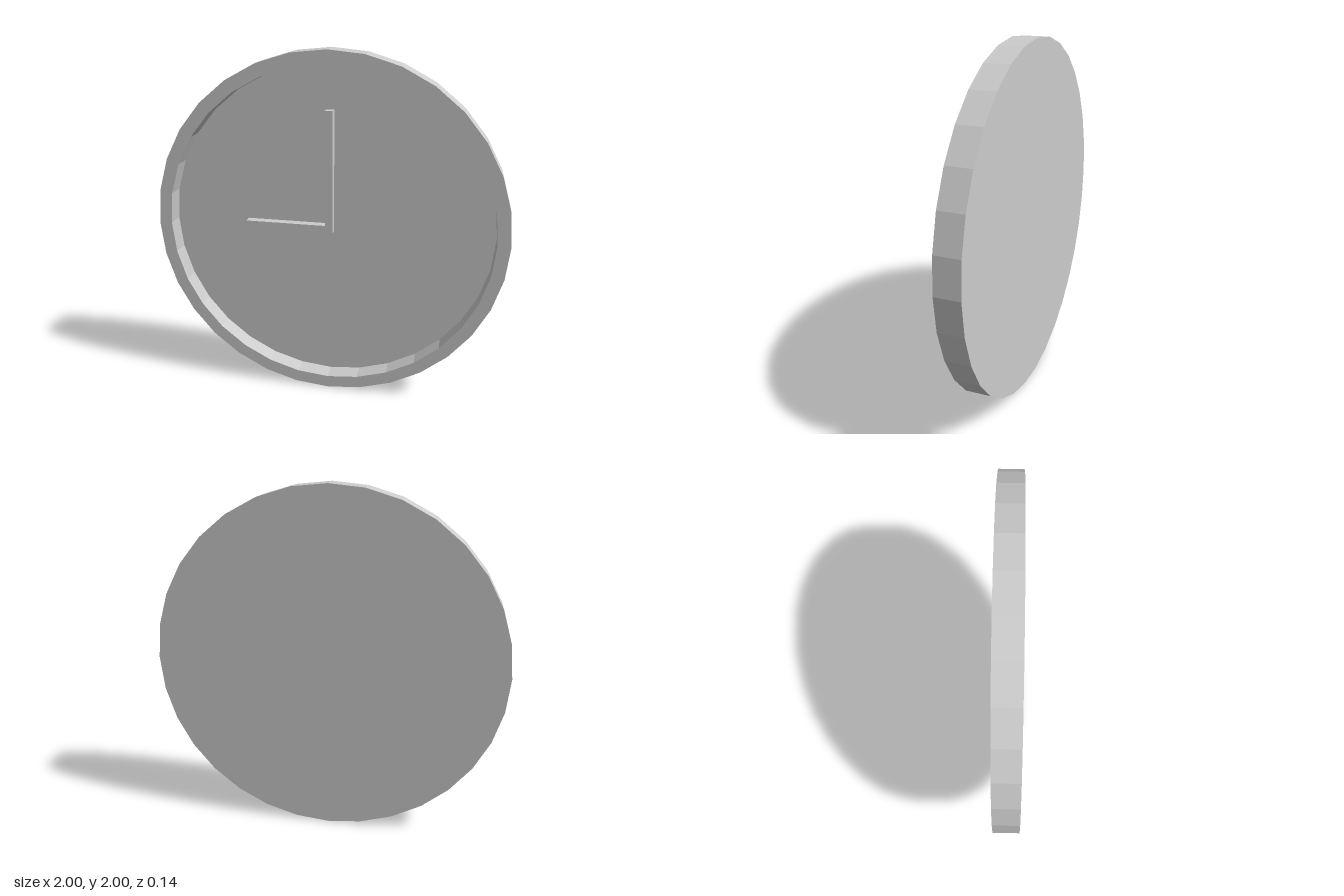
import * as THREE from 'three';

export function createModel() {
  const clock = new THREE.Group();
  clock.name = 'wallClock';
  const grey = new THREE.MeshStandardMaterial({ color: 0xcccccc, flatShading: true });
  grey.name = 'grey';

  const FLOOR = -0.035; // depth of the recessed dial

  // Lathes a profile of [radius, z] points around the z axis, raised to stand on y = 0
  function turned(name, points) {
    const profile = points.map(([r, z]) => new THREE.Vector2(r, z));
    const geometry = new THREE.LatheGeometry(profile, 32).rotateX(Math.PI / 2);
    const mesh = new THREE.Mesh(geometry, grey);
    mesh.name = name;
    mesh.position.y = 1;
    clock.add(mesh);
  }

  // Square bar lying on the dial between two corners
  function hand(name, x0, x1, y0, y1) {
    const depth = 0.048;
    const mesh = new THREE.Mesh(new THREE.BoxGeometry(x1 - x0, y1 - y0, depth), grey);
    mesh.name = name;
    mesh.position.set((x0 + x1) / 2, (y0 + y1) / 2, FLOOR + depth / 2);
    clock.add(mesh);
  }

  // Raised rim with its back, outer wall, front ring and inner wall
  turned('rim', [[0.927, -0.07], [1, -0.07], [1, 0.07], [0.927, 0.07], [0.927, FLOOR]]);
  // Recessed dial and flat back
  turned('dial', [[0.927, FLOOR], [0, FLOOR]]);
  turned('backPlate', [[0, -0.07], [0.927, -0.07]]);

  // Hands, meeting at the centre
  hand('minuteHand', -0.025, 0.019, 0.981, 1.677);
  hand('hourHand', -0.49, -0.025, 0.981, 1.025);

  return clock;
}
